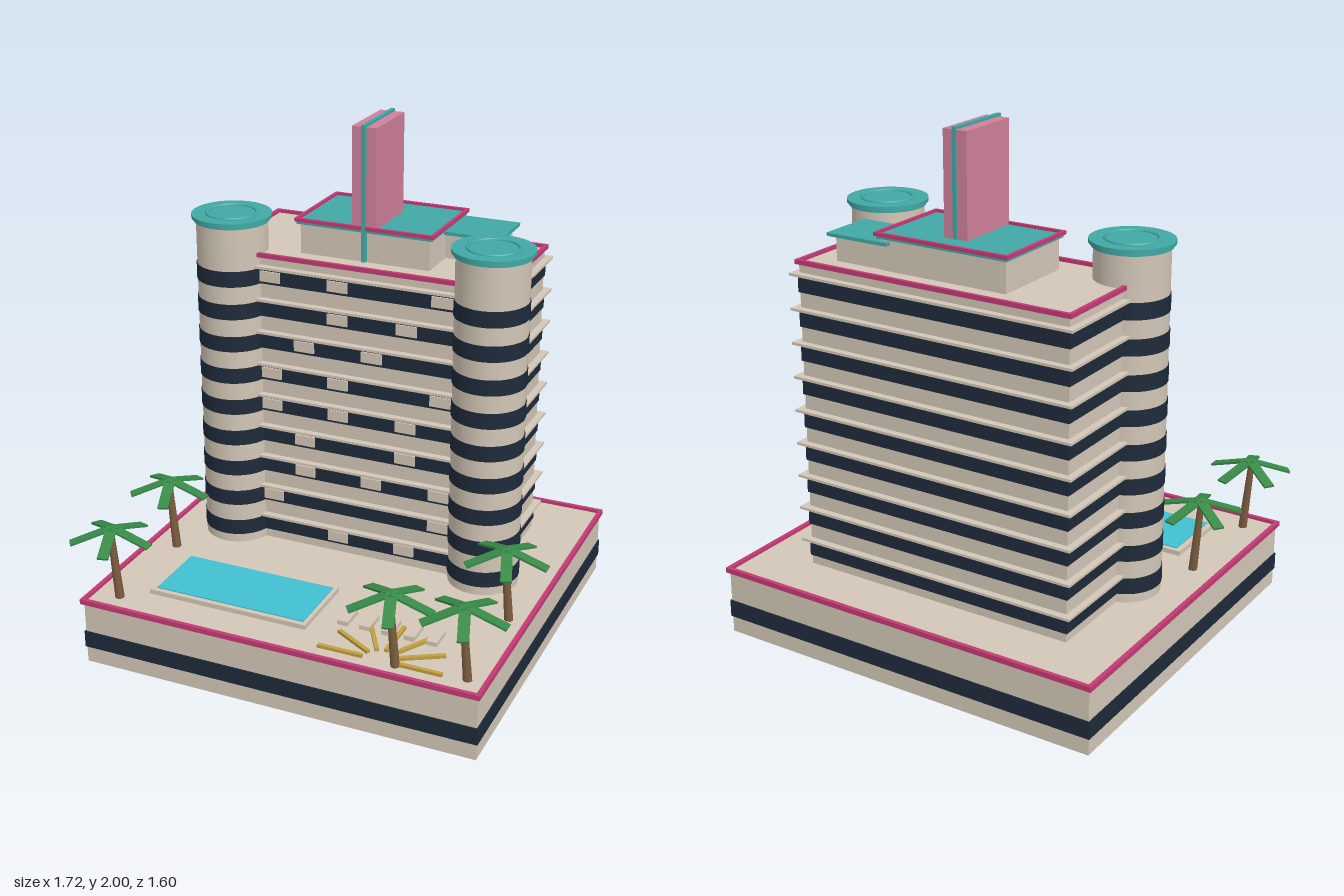
import * as THREE from 'three';

const mat = (name, color, extra = {}) => {
  const m = new THREE.MeshStandardMaterial({ color, ...extra });
  m.name = name;
  return m;
};

export function createModel() {
  const stone = mat('stone', 0xd2c6b6);
  const glass = mat('darkGlass', 0x1e2a3a);
  const pink = mat('pinkTrim', 0xc23a74);
  const rose = mat('rosePanel', 0xd0809a);
  const teal = mat('tealRoof', 0x40a8a4);
  const water = mat('poolWater', 0x40c0d0);
  const leaf = mat('palmLeaf', 0x388a48);
  const bark = mat('palmBark', 0x7a5c3e);
  const gold = mat('gold', 0xc0a040);

  const model = new THREE.Group();
  model.name = 'hotel';

  const group = (name, parent = model) => {
    const g = new THREE.Group();
    g.name = name;
    parent.add(g);
    return g;
  };
  const add = (name, geo, material, parent = model) => {
    const m = new THREE.Mesh(geo, material);
    m.name = name;
    parent.add(m);
    return m;
  };
  // Box given by its limits on each axis
  const box = (name, material, [x0, x1], [y0, y1], [z0, z1], parent) => {
    const m = add(name, new THREE.BoxGeometry(x1 - x0, y1 - y0, z1 - z0), material, parent);
    m.position.set((x0 + x1) / 2, (y0 + y1) / 2, (z0 + z1) / 2);
    return m;
  };
  // Upright cylinder between two heights
  const drum = (name, material, r, y0, y1, parent) => {
    const m = add(name, new THREE.CylinderGeometry(r, r, y1 - y0, 40), material, parent);
    m.position.y = (y0 + y1) / 2;
    return m;
  };
  // Rectangular border made of four bars
  const frame = (name, material, [x0, x1], y, [z0, z1], w) => {
    const g = group(name);
    for (const x of [x0, x1 - w]) box('sideBar', material, [x, x + w], y, [z0, z1], g);
    for (const z of [z0, z1 - w]) box('crossBar', material, [x0 + w, x1 - w], y, [z, z + w], g);
  };

  // Podium
  box('podium', stone, [-0.805, 0.785], [0, 0.262], [-0.79, 0.705]);
  box('podiumWindowBand', glass, [-0.81, 0.79], [0.066, 0.134], [-0.795, 0.71]);
  frame('podiumTrim', pink, [-0.817, 0.795], [0.255, 0.275], [-0.803, 0.717], 0.016);

  // Main block with window bands, ledges and pale front panels
  const FLOORS = 9;
  const floorY = (i) => 0.329 + i * 0.1325;
  const panelColumns = [
    [2, 4], [0, 5], [1, 3, 5], [1, 4], [0, 2, 4], [0, 2, 5], [1, 3], [2, 4], [0, 2, 5],
  ];
  box('mainBlock', stone, [-0.582, 0.558], [0.26, 1.47], [-0.57, -0.05]);
  for (let i = 0; i < FLOORS; i++) {
    const y = floorY(i);
    const floor = group('floor' + (i + 1));
    box('windowBand', glass, [-0.587, 0.563], [y - 0.031, y + 0.031], [-0.575, -0.045], floor);
    box('ledge', stone, [-0.608, 0.585], [y + 0.034, y + 0.044], [-0.598, -0.022], floor);
    for (const c of panelColumns[i]) {
      const x = -0.364 + c * 0.1408;
      box('frontPanel', stone, [x - 0.042, x + 0.042], [y - 0.02, y + 0.022], [-0.046, -0.038], floor);
    }
  }
  frame('roofTrim', pink, [-0.594, 0.568], [1.466, 1.483], [-0.583, -0.033], 0.014);

  // Round corner towers
  for (const [name, x] of [['rightTower', -0.542], ['leftTower', 0.518]]) {
    const tower = group(name);
    tower.position.set(x, 0, -0.083);
    drum('towerShaft', stone, 0.138, 0.26, 1.59, tower);
    for (let i = 0; i < FLOORS; i++) {
      drum('towerWindowBand', glass, 0.141, floorY(i) - 0.031, floorY(i) + 0.031, tower);
    }
    drum('capBase', teal, 0.146, 1.588, 1.6, tower);
    drum('cap', teal, 0.155, 1.6, 1.614, tower);
    const ring = add('capRing', new THREE.TorusGeometry(0.096, 0.007, 8, 40), teal, tower);
    ring.rotation.x = Math.PI / 2;
    ring.position.y = 1.614;
  }

  // Penthouse and annex
  box('penthouse', stone, [-0.277, 0.25], [1.465, 1.588], [-0.485, -0.138]);
  box('penthouseRoof', teal, [-0.288, 0.262], [1.588, 1.602], [-0.497, -0.126]);
  frame('penthouseTrim', pink, [-0.295, 0.269], [1.598, 1.612], [-0.504, -0.12], 0.012);
  box('annex', stone, [0.23, 0.455], [1.465, 1.567], [-0.48, -0.305]);
  box('annexRoof', teal, [0.21, 0.475], [1.567, 1.58], [-0.508, -0.285]);

  // Roof fin
  box('finRightHalf', rose, [-0.06, -0.018], [1.6, 1.99], [-0.396, -0.128]);
  box('finLeftHalf', rose, [-0.002, 0.038], [1.6, 1.99], [-0.396, -0.128]);
  box('finSpine', teal, [-0.018, -0.002], [1.475, 2], [-0.401, -0.116]);

  // Pool
  box('poolCoping', stone, [-0.607, 0.05], [0.26, 0.281], [0.243, 0.55]);
  box('poolWater', water, [-0.585, 0.034], [0.279, 0.285], [0.262, 0.53]);

  // Sun loungers
  for (let i = 0; i < 5; i++) {
    const x = 0.163 + i * 0.0885;
    box('lounger', stone, [x - 0.021, x + 0.021], [0.26, 0.28], [0.367, 0.464]);
  }

  // Sunburst of rays laid in the deck
  const sunburst = group('sunburst');
  sunburst.position.set(0.383, 0.267, 0.633);
  for (let i = 0; i < 7; i++) {
    const spoke = group('ray', sunburst);
    spoke.rotation.y = (i * Math.PI) / 6;
    box('rayBar', gold, [0.065, 0.242], [-0.007, 0.007], [-0.008, 0.008], spoke);
  }

  // Palms: leaning trunk and five drooping fronds
  const palmSpots = [[-0.717, 0.175], [0.697, 0.175], [-0.717, 0.618], [0.697, 0.618], [0.43, 0.638]];
  for (const [x, z] of palmSpots) {
    const palm = group('palm');
    palm.position.set(x, 0.26, z);
    const trunk = add('trunk', new THREE.CylinderGeometry(0.013, 0.018, 0.29, 8), bark, palm);
    trunk.position.set(0.005, 0.143, 0);
    trunk.rotation.z = 0.085;
    for (let i = 0; i < 5; i++) {
      const arm = group('frondArm', palm);
      arm.position.y = 0.297;
      arm.rotation.set(0, (i * Math.PI * 2) / 5, 0);
      const frond = box('frond', leaf, [0, 0.166], [-0.004, 0.004], [-0.021, 0.021], arm);
      frond.geometry.translate(0.083, 0, 0);
      frond.position.set(0, 0, 0);
      frond.rotation.z = -0.3;
    }
  }

  return model;
}
